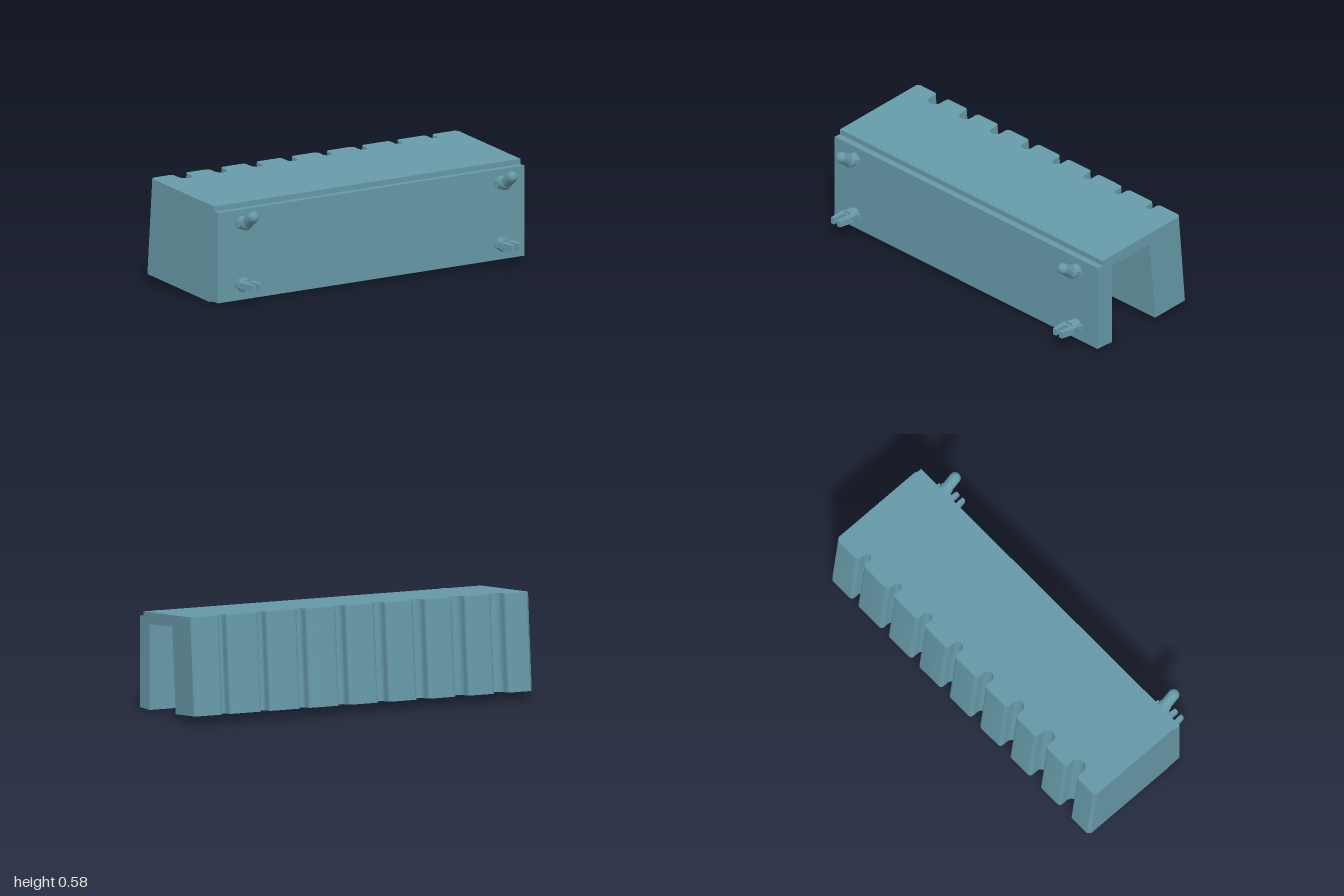
import * as THREE from 'three';
import { toCreasedNormals } from 'three/addons/utils/BufferGeometryUtils.js';

const material = new THREE.MeshStandardMaterial({ color: 0x6699a8 });

function add(parent, name, geometry) {
  const mesh = new THREE.Mesh(geometry, material);
  mesh.name = name;
  parent.add(mesh);
  return mesh;
}

const extrude = (shape, depth) => toCreasedNormals(
  new THREE.ExtrudeGeometry(shape, { depth, bevelEnabled: false, curveSegments: 12 }), 0.6);

// Side profile given as [z, y] points, extruded along x from x0 to x1
function sideProfile(points, x0, x1) {
  const shape = new THREE.Shape(points.map(([z, y]) => new THREE.Vector2(-z, y)));
  return extrude(shape, x1 - x0).rotateY(Math.PI / 2).translate(x0, 0, 0);
}

// Plan outline in (x, -z), extruded upward from y0
const planProfile = (shape, height, y0) => extrude(shape, height).rotateX(-Math.PI / 2).translate(0, y0, 0);

// Round rod between two [y, z] points
function rod(parent, name, a, b, r) {
  const dy = b[0] - a[0], dz = b[1] - a[1];
  const g = new THREE.CylinderGeometry(r, r, Math.hypot(dy, dz), 24);
  g.rotateX(Math.atan2(dz, dy)).translate(0, (a[0] + b[0]) / 2, (a[1] + b[1]) / 2);
  return add(parent, name, g);
}

const GROOVES = Array.from({ length: 8 }, (_, i) => ({
  x: -0.815 + i * 0.2325,
  r: 0.04 - i * 0.0029,
  depth: 0.09 - i * 0.003,
}));

// Comb outline of the rear wall: chamfered ends and round-bottomed grooves
function combShape(thickness, slots) {
  const s = new THREE.Shape();
  s.moveTo(-1, -thickness);
  s.lineTo(-1, -0.016);
  s.lineTo(-0.984, 0);
  for (const { x, r, depth } of GROOVES) {
    const lip = 0.022;
    s.lineTo(x - r - lip, 0);
    s.quadraticCurveTo(x - r, 0, x - r, -lip);
    s.lineTo(x - r, r - depth);
    s.absarc(x, r - depth, r, Math.PI, 2 * Math.PI, false);
    s.lineTo(x + r, -lip);
    s.quadraticCurveTo(x + r, 0, x + r + lip, 0);
  }
  s.lineTo(0.984, 0);
  s.lineTo(1, -0.016);
  s.lineTo(1, -thickness);
  s.closePath();
  if (slots) {
    for (const { x } of GROOVES) {
      const hole = new THREE.Path();
      hole.moveTo(x - 0.08, -0.135);
      hole.lineTo(x + 0.08, -0.135);
      hole.lineTo(x + 0.08, -0.18);
      hole.lineTo(x - 0.08, -0.18);
      hole.closePath();
      s.holes.push(hole);
    }
  }
  return s;
}

// Bent upper hook with small side fins
function makeHook() {
  const hook = new THREE.Group();
  hook.name = 'upperHook';
  rod(hook, 'hookStem', [0.431, 0.25], [0.431, 0.298], 0.036);
  add(hook, 'hookElbow', new THREE.SphereGeometry(0.036, 24, 16).translate(0, 0.431, 0.298));
  rod(hook, 'hookArm', [0.431, 0.298], [0.477, 0.362], 0.031);
  add(hook, 'hookTip', new THREE.SphereGeometry(0.031, 24, 16).translate(0, 0.477, 0.362));
  add(hook, 'hookFins', new THREE.BoxGeometry(0.09, 0.03, 0.035).translate(0, 0.431, 0.272));
  return hook;
}

// Lower snap clip: octagonal stem with a split barbed tongue
function makeClip() {
  const clip = new THREE.Group();
  clip.name = 'lowerClip';
  const stem = new THREE.CylinderGeometry(0.038, 0.038, 0.06, 8).toNonIndexed();
  stem.rotateY(Math.PI / 8).rotateX(Math.PI / 2).translate(0, 0.095, 0.285);
  stem.computeVertexNormals();
  add(clip, 'clipStem', stem);
  const tongue = new THREE.Shape([
    [-0.032, -0.25], [0.032, -0.25], [0.032, -0.29], [0.047, -0.315], [0.033, -0.405],
    [0.012, -0.405], [0.012, -0.33], [-0.012, -0.33], [-0.012, -0.405],
    [-0.033, -0.405], [-0.047, -0.315], [-0.032, -0.29],
  ].map(([x, y]) => new THREE.Vector2(x, y)));
  add(clip, 'clipTongue', planProfile(tongue, 0.037, 0.08));
  add(clip, 'clipFins', new THREE.BoxGeometry(0.09, 0.03, 0.03).translate(0, 0.096, 0.272));
  return clip;
}

export function createModel() {
  const model = new THREE.Group();
  model.name = 'wallRack';

  // Rear wall leans forward, with pockets open to the underside
  const rear = new THREE.Group();
  rear.name = 'rearWall';
  rear.position.set(0, 0.053, -0.405);
  rear.rotation.x = 0.0852;
  const thickness = 0.238, height = 0.529, pocket = 0.4;
  add(rear, 'groovedWallLower', planProfile(combShape(thickness, true), pocket, 0));
  add(rear, 'groovedWallUpper', planProfile(combShape(thickness, false), height - pocket, pocket));
  model.add(rear);

  // Sloping top and upright front plate in one profile
  add(model, 'topAndFrontPlate', sideProfile([
    [-0.123, 0.56], [0.221, 0.531], [0.221, 0.502], [0.26, 0.502], [0.26, 0.01],
    [0.15, 0.01], [0.15, 0.472], [-0.127, 0.497],
  ], -1, 1));

  // Closed end of the channel on the right
  add(model, 'endWall', sideProfile([
    [-0.127, 0.497], [0.15, 0.472], [0.15, 0.011], [0.178, 0.011], [0.178, 0.003], [-0.168, 0.033],
  ], -1, -0.96));

  // Mounting hooks and clips on the front plate
  for (const side of [-1, 1]) {
    for (const part of [makeHook(), makeClip()]) {
      part.position.x = side * 0.845;
      model.add(part);
    }
  }
  return model;
}
